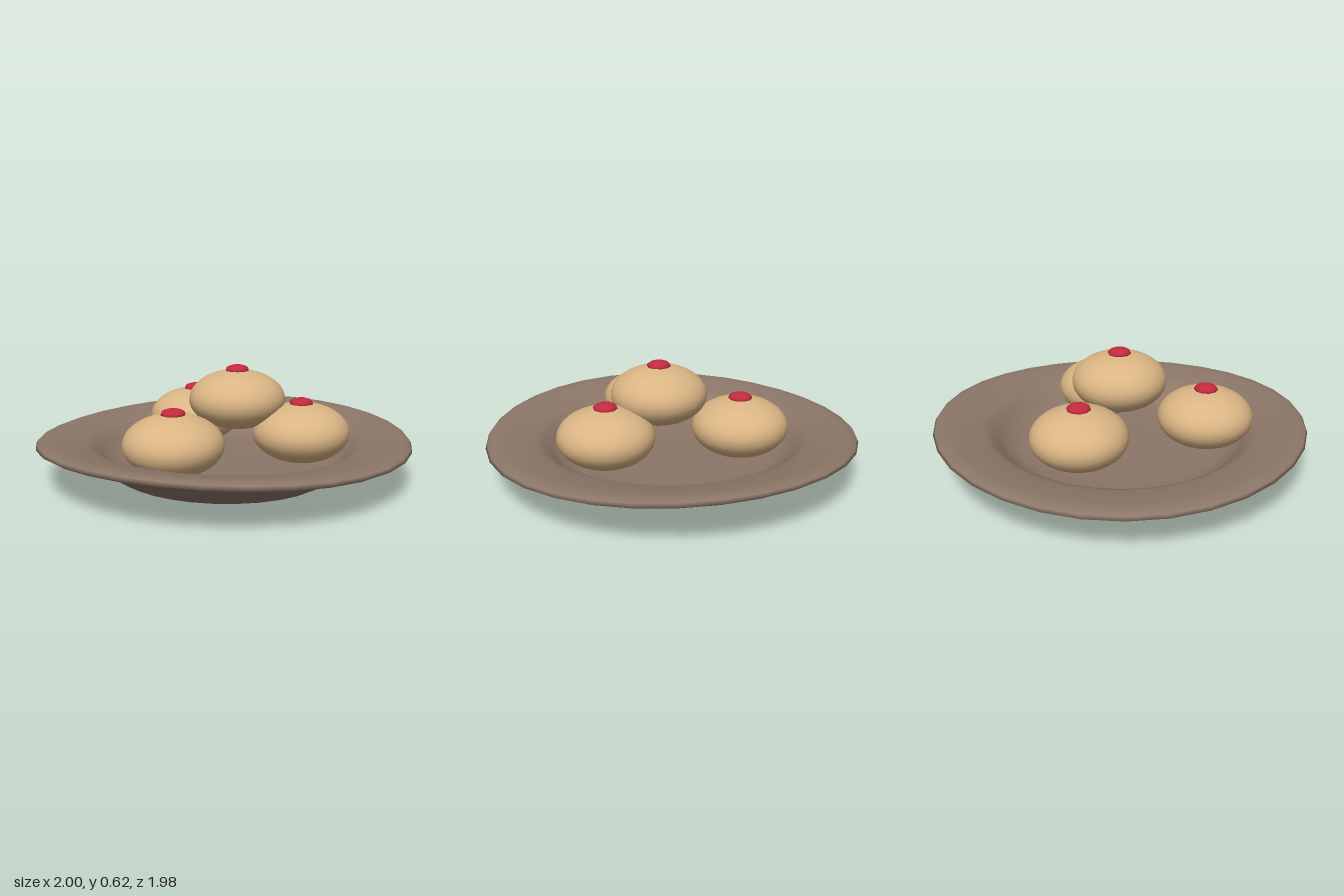
import * as THREE from 'three';
import { mergeVertices } from 'three/addons/utils/BufferGeometryUtils.js';

const clay = new THREE.MeshStandardMaterial({ color: 0x8c7768 });
clay.name = 'clay brown';
const dough = new THREE.MeshStandardMaterial({ color: 0xdab584 });
dough.name = 'baked tan';
const berry = new THREE.MeshStandardMaterial({ color: 0xc42a3e });
berry.name = 'cherry red';

// Closed plate profile: underside outwards, round the lip, then back in along the top.
function plateGeometry() {
  const profile = [
    [0, 0.005], [0.3, 0.006], [0.5, 0.01], [0.56, 0.022], [0.61, 0.05], [0.67, 0.095],
    [0.75, 0.138], [0.84, 0.173], [0.92, 0.194], [0.975, 0.207], [1, 0.222],
    [0.99, 0.238], [0.955, 0.25], [0.9, 0.246], [0.82, 0.232], [0.74, 0.217],
    [0.7, 0.2], [0.66, 0.162], [0.61, 0.122], [0.55, 0.102], [0.45, 0.094], [0.25, 0.09], [0, 0.09],
  ].map(([r, y]) => new THREE.Vector2(r, y));
  let geometry = new THREE.LatheGeometry(profile, 32);
  geometry.deleteAttribute('normal');
  geometry.deleteAttribute('uv');
  geometry = mergeVertices(geometry, 1e-4);

  // Hand-thrown warp: two opposite quarters of the rim lift, the others sag.
  const p = geometry.attributes.position;
  for (let i = 0; i < p.count; i++) {
    const x = p.getX(i), z = p.getZ(i), r = Math.hypot(x, z);
    const warp = -0.022 * Math.sin(2 * Math.atan2(z, x)) * r ** 3;
    p.setY(i, Math.max(0, p.getY(i) + warp));
    p.setZ(i, z * 0.99);
  }
  geometry.computeVertexNormals();
  return geometry;
}

export function createModel() {
  const model = new THREE.Group();
  model.name = 'plateOfBuns';

  const plate = new THREE.Mesh(plateGeometry(), clay);
  plate.name = 'plate';
  model.add(plate);

  // Flattened round buns, each with a small cherry pressed into the top
  const bunGeometry = new THREE.SphereGeometry(0.255, 32, 24).scale(1, 0.612, 1);
  const cherryGeometry = new THREE.SphereGeometry(0.063, 10, 8).scale(1, 0.44, 1);
  const buns = [
    ['backBun', -0.06, 0.274, -0.36],
    ['rightBun', -0.355, 0.274, 0.29],
    ['leftBun', 0.35, 0.274, 0.23],
    ['topBun', 0.055, 0.437, 0.055],
  ];
  for (const [name, x, y, z] of buns) {
    const group = new THREE.Group();
    group.name = name;
    group.position.set(x, y, z);
    const bun = new THREE.Mesh(bunGeometry, dough);
    bun.name = 'bun';
    const cherry = new THREE.Mesh(cherryGeometry, berry);
    cherry.name = 'cherry';
    cherry.position.y = 0.156;
    group.add(bun, cherry);
    model.add(group);
  }
  return model;
}
